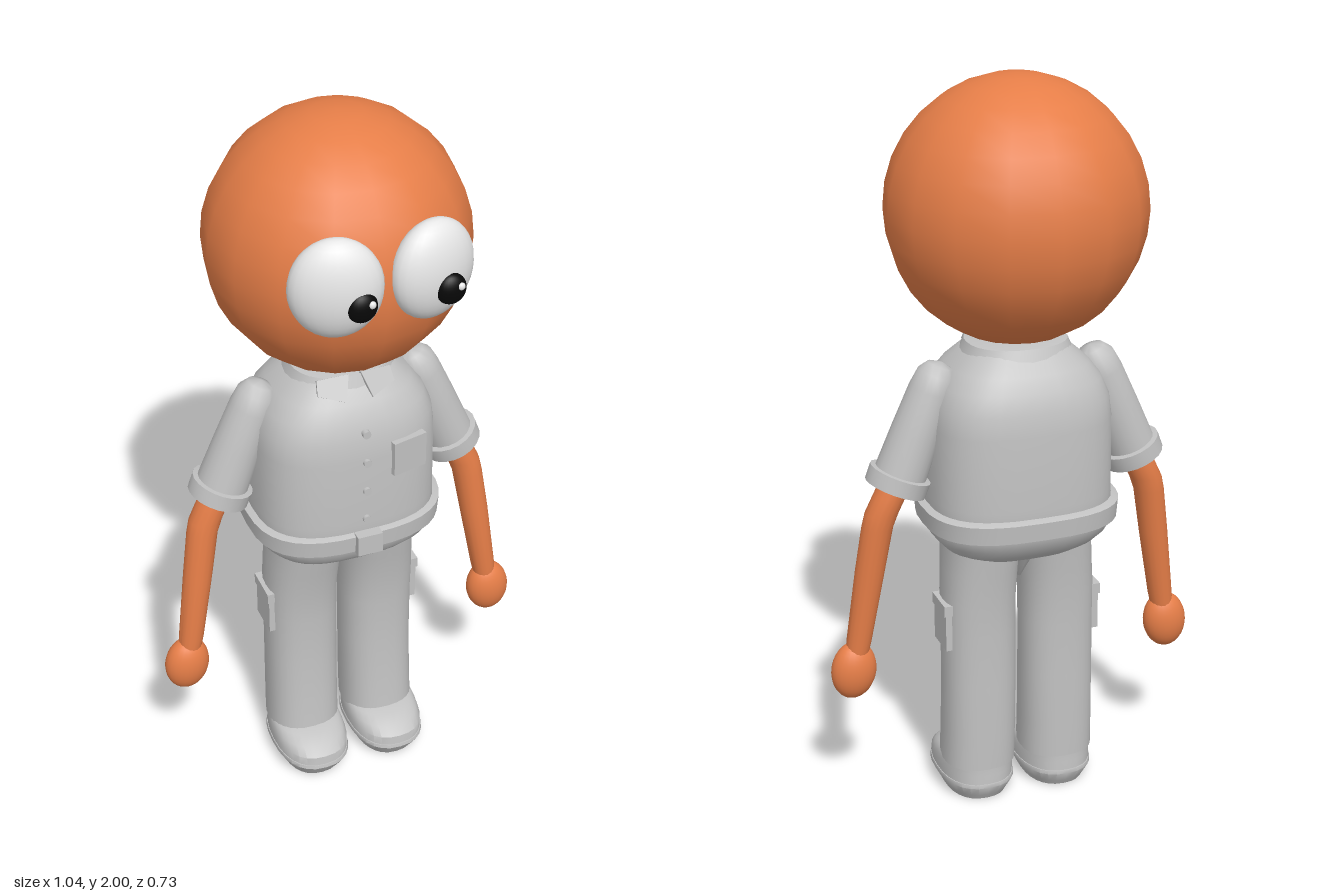
import * as THREE from 'three';
import { toCreasedNormals } from 'three/addons/utils/BufferGeometryUtils.js';

const mat = (name, color) => {
  const m = new THREE.MeshStandardMaterial({ color });
  m.name = name;
  return m;
};

// Closed skin through horizontal superellipse rings [y, halfX, halfZ, centreX, centreZ]
function loft(rings, power = 2, seg = 28) {
  const pos = [], idx = [], n = rings.length;
  const curve = (v) => Math.sign(v) * Math.abs(v) ** (2 / power);
  for (const [y, hx, hz, cx = 0, cz = 0] of rings) {
    for (let j = 0; j < seg; j++) {
      const t = (j / seg) * Math.PI * 2;
      pos.push(cx + hx * curve(Math.cos(t)), y, cz + hz * curve(Math.sin(t)));
    }
  }
  for (const r of [rings[0], rings[n - 1]]) pos.push(r[3] ?? 0, r[0], r[4] ?? 0);
  for (let j = 0; j < seg; j++) {
    const k = (j + 1) % seg, top = (n - 1) * seg;
    for (let i = 0; i < n - 1; i++) {
      const a = i * seg + j, b = i * seg + k;
      idx.push(a, a + seg, b, b, a + seg, b + seg);
    }
    idx.push(n * seg, j, k, n * seg + 1, top + k, top + j);
  }
  const g = new THREE.BufferGeometry();
  g.setAttribute('position', new THREE.Float32BufferAttribute(pos, 3));
  g.setIndex(idx);
  return toCreasedNormals(g, 0.75);
}

export function createModel() {
  const root = new THREE.Group();
  const skin = mat('skin orange', 0xe67e48);
  const cloth = mat('cloth grey', 0xc2c2c2);
  const white = mat('eye white', 0xeeeeee);
  const black = mat('pupil black', 0x080808);

  const add = (name, geo, material, p = [0, 0, 0], r = [0, 0, 0], s = [1, 1, 1]) => {
    const m = new THREE.Mesh(geo, material);
    m.name = name;
    m.position.set(...p);
    m.rotation.set(...r);
    m.scale.set(...s);
    root.add(m);
    return m;
  };
  const ball = new THREE.SphereGeometry(1, 24, 18);

  // Head
  add('head', new THREE.SphereGeometry(1, 16, 16), skin, [0, 1.653, -0.03], [0, 0, 0], [0.342, 0.347, 0.335]);

  // Shirt body and rounded hips
  const Z = -0.025;
  add('torso', loft([
    [0.715, 0.12, 0.08], [0.73, 0.165, 0.13], [0.755, 0.21, 0.165], [0.785, 0.237, 0.193], [0.82, 0.25, 0.205],
    [0.9, 0.247, 0.205], [1.1, 0.245, 0.205], [1.16, 0.238, 0.198], [1.21, 0.217, 0.182],
    [1.25, 0.185, 0.158], [1.28, 0.15, 0.132], [1.31, 0.115, 0.105],
  ].map((r) => [...r, 0, Z]), 2.8, 36), cloth);

  // Belt and buckle
  add('belt', loft([
    [0.815, 0.245, 0.2], [0.82, 0.262, 0.218], [0.87, 0.266, 0.222], [0.878, 0.245, 0.2],
  ].map((r) => [...r, 0, -0.027]), 2.8, 36), cloth);
  add('buckle', new THREE.BoxGeometry(0.07, 0.06, 0.03), cloth, [0, 0.847, 0.195]);

  // Collar band with two front flaps
  add('collar', loft([
    [1.265, 0.13, 0.12], [1.27, 0.152, 0.137], [1.31, 0.135, 0.118], [1.315, 0.1, 0.09],
  ].map((r) => [...r, 0, Z]), 2.3), cloth);
  for (const s of [-1, 1]) {
    const flap = new THREE.Shape([[0.015, 0.04], [0.035, -0.03], [0.105, 0], [0.1, 0.04]]
      .map(([x, y]) => new THREE.Vector2(s * x, y)));
    add('collarFlap', new THREE.ExtrudeGeometry(flap, { depth: 0.012, bevelEnabled: false }),
      cloth, [0, 1.28, 0.108], [-0.6, s * 0.15, 0]);
  }

  // Buttons and chest pocket
  for (const y of [1.18, 1.095, 1.005, 0.915]) {
    add('button', new THREE.CylinderGeometry(0.011, 0.011, 0.016, 12), cloth,
      [0, y, y > 1.15 ? 0.173 : 0.181], [Math.PI / 2, 0, 0]);
  }
  add('chestPocket', new THREE.BoxGeometry(0.1, 0.1, 0.02), cloth, [0.12, 1.088, 0.17], [0, 0.22, 0]);

  // Open sleeve with turned-up cuff, profile from inside to shoulder
  const sleeve = toCreasedNormals(new THREE.LatheGeometry([
    [0.03, -0.2], [0.066, -0.255], [0.07, -0.298], [0.083, -0.298], [0.084, -0.255], [0.07, -0.253],
    [0.066, -0.14], [0.06, -0.02], [0.053, 0.025], [0.035, 0.05], [0, 0.06],
  ].map(([x, y]) => new THREE.Vector2(x, y)).map((p, i) => (i === 0 ? p.setY(-0.21) : p)), 20), 0.75);
  const sleeveMat = cloth;

  for (const s of [-1, 1]) {
    const side = s > 0 ? 'left' : 'right';

    // Bulging eye with pupil and glint
    add(side + 'Eye', ball, white, [s * 0.124, 1.7, 0.275], [0, s * 0.25, 0], [0.117, 0.132, 0.064]);
    const px = s > 0 ? 0.148 : -0.08;
    add(side + 'Pupil', ball, black, [px, 1.67, 0.333], [0, 0, 0], [0.039, 0.041, 0.025]);
    add(side + 'Glint', ball, white, [px + 0.018, 1.682, 0.352], [0, 0, 0], [0.01, 0.01, 0.008]);

    // Arm
    add(side + 'Sleeve', sleeve, sleeveMat, [s * 0.228, 1.212, -0.035], [0, 0, s * 0.38]);
    add(side + 'Forearm', loft([
      [0.44, 0.03, 0.03, s * 0.45, -0.007], [0.5, 0.034, 0.034, s * 0.44, -0.008],
      [0.7, 0.04, 0.038, s * 0.409, -0.02], [0.83, 0.042, 0.041, s * 0.388, -0.03],
      [0.87, 0.045, 0.042, s * 0.376, -0.033], [0.92, 0.045, 0.042, s * 0.352, -0.035],
      [1.02, 0.04, 0.04, s * 0.305, -0.035],
    ], 2, 16), skin);
    add(side + 'Hand', ball, skin, [s * 0.457, 0.41, -0.006], [0, 0, s * 0.12], [0.062, 0.082, 0.046]);

    // Trouser leg, slightly flared at the hem
    add(side + 'Leg', loft([
      [0.1, 0.1, 0.106, s * 0.114, -0.024], [0.2, 0.1, 0.101, s * 0.113, -0.03],
      [0.35, 0.1, 0.096, s * 0.112, -0.034], [0.5, 0.1, 0.096, s * 0.112, -0.034],
      [0.6, 0.1, 0.103, s * 0.112, -0.032], [0.68, 0.1, 0.114, s * 0.107, -0.028],
      [0.75, 0.102, 0.125, s * 0.102, -0.025],
    ], 2.4), cloth);

    // Cargo pocket with a flap
    add(side + 'LegPocket', new THREE.BoxGeometry(0.025, 0.12, 0.1), cloth, [s * 0.207, 0.52, -0.035]);
    add(side + 'LegPocketFlap', new THREE.BoxGeometry(0.034, 0.03, 0.106), cloth, [s * 0.207, 0.578, -0.035]);

    // Shoe: bevelled sole and sloping upper
    add(side + 'Sole', loft([
      [0, 0.083, 0.128, s * 0.115, 0.018], [0.015, 0.09, 0.138, s * 0.115, 0.019],
      [0.045, 0.106, 0.156, s * 0.115, 0.02], [0.055, 0.104, 0.154, s * 0.115, 0.02],
    ], 2.4), cloth);
    add(side + 'Shoe', loft([
      [0.05, 0.102, 0.152, s * 0.115, 0.02], [0.08, 0.103, 0.149, s * 0.115, 0.019],
      [0.1, 0.1, 0.134, s * 0.115, 0.006], [0.115, 0.096, 0.116, s * 0.115, -0.012],
      [0.128, 0.085, 0.09, s * 0.115, -0.03],
    ], 2.4), cloth);
  }

  // Crotch filling between the legs
  add('crotch', loft([
    [0.64, 0.008, 0.03, 0, -0.03], [0.68, 0.025, 0.06, 0, -0.03], [0.74, 0.06, 0.1, 0, -0.028],
  ], 2, 16), cloth);

  return root;
}
